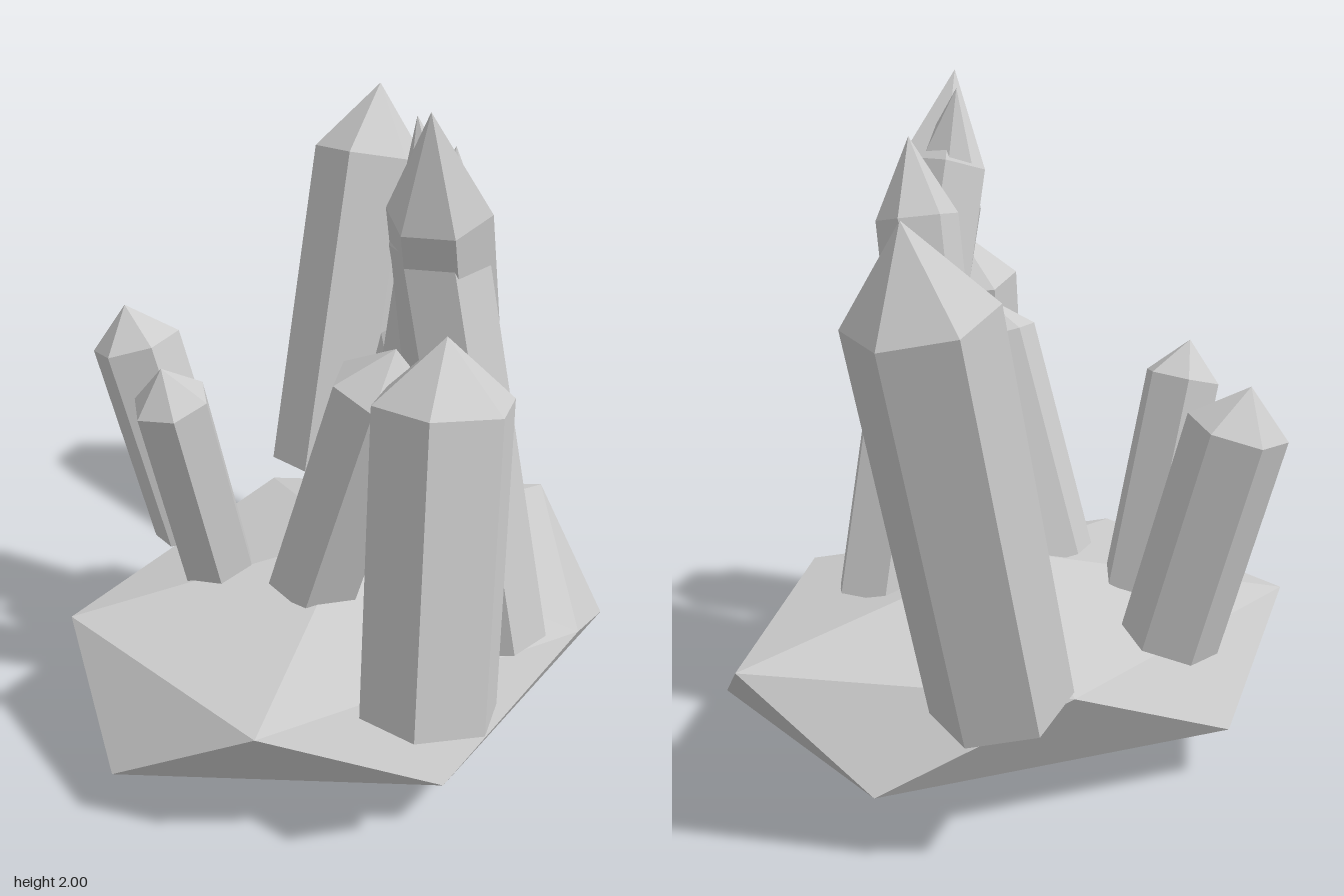
import * as THREE from 'three';
import { ConvexGeometry } from 'three/addons/geometries/ConvexGeometry.js';

const stone = new THREE.MeshStandardMaterial({ color: 0xcccccc, flatShading: true });
stone.name = 'pale grey stone';

// Flattened twenty-sided rock: two poles and two staggered rings of five
function createRock() {
  const points = [new THREE.Vector3(0, 0, 0), new THREE.Vector3(0, 0.57, 0)];
  for (let i = 0; i < 5; i++) {
    const a = (i / 5) * Math.PI * 2;
    const x = 0.934 * Math.cos(a), z = 0.722 * Math.sin(a);
    points.push(new THREE.Vector3(x, 0.412, z), new THREE.Vector3(-x, 0.158, -z));
  }
  const rock = new THREE.Mesh(new ConvexGeometry(points), stone);
  rock.name = 'rockBase';
  return rock;
}

// Six-sided prism from foot to shoulder, closed by a point of the given length
function createCrystal({ name, foot, shoulder, point, radius, twist }) {
  const start = new THREE.Vector3(...foot);
  const axis = new THREE.Vector3(...shoulder).sub(start);
  const length = axis.length();
  const profile = [[0, 0], [radius, 0], [radius, length], [0, length + point]]
    .map(([x, y]) => new THREE.Vector2(x, y));
  const geometry = new THREE.LatheGeometry(profile, 6).rotateY(twist);
  const crystal = new THREE.Mesh(geometry, stone);
  crystal.name = name;
  crystal.position.copy(start);
  crystal.quaternion.setFromUnitVectors(new THREE.Vector3(0, 1, 0), axis.normalize());
  return crystal;
}

const crystals = [
  { name: 'tallCrystal', foot: [0.33, 0.44, 0.2], shoulder: [-0.015, 1.71, 0.362], point: 0.3, radius: 0.147, twist: 0.52 },
  { name: 'frontCrystal', foot: [0.055, 0.45, 0.58], shoulder: [0.005, 1.62, 0.338], point: 0.337, radius: 0.137, twist: 0.52 },
  { name: 'middleCrystal', foot: [0.19, 0.5, 0], shoulder: [0.19, 1.59, 0.19], point: 0.234, radius: 0.122, twist: 0 },
  { name: 'wideFrontCrystal', foot: [-0.355, 0.445, 0.685], shoulder: [-0.245, 1.31, 0.61], point: 0.173, radius: 0.197, twist: 0.04 },
  { name: 'outerBackCrystal', foot: [0.48, 0.43, -0.62], shoulder: [0.767, 1.5, -0.695], point: 0.238, radius: 0.192, twist: -0.12 },
  { name: 'innerCrystal', foot: [-0.19, 0.5, 0.05], shoulder: [-0.115, 1.19, 0.255], point: 0.135, radius: 0.15, twist: 0.1 },
  { name: 'shortSideCrystal', foot: [0.175, 0.5, -0.065], shoulder: [0.272, 1.13, 0.042], point: 0.153, radius: 0.145, twist: 0.35 },
  { name: 'smallLeaningCrystal', foot: [-0.31, 0.46, -0.255], shoulder: [-0.475, 1.1, -0.248], point: 0.114, radius: 0.117, twist: 0.45 },
  { name: 'smallBackCrystal', foot: [-0.153, 0.435, -0.57], shoulder: [-0.243, 1.08, -0.723], point: 0.122, radius: 0.142, twist: -0.27 },
];

export function createModel() {
  const model = new THREE.Group();
  model.name = 'crystalCluster';
  model.add(createRock());
  for (const crystal of crystals) model.add(createCrystal(crystal));
  return model;
}
